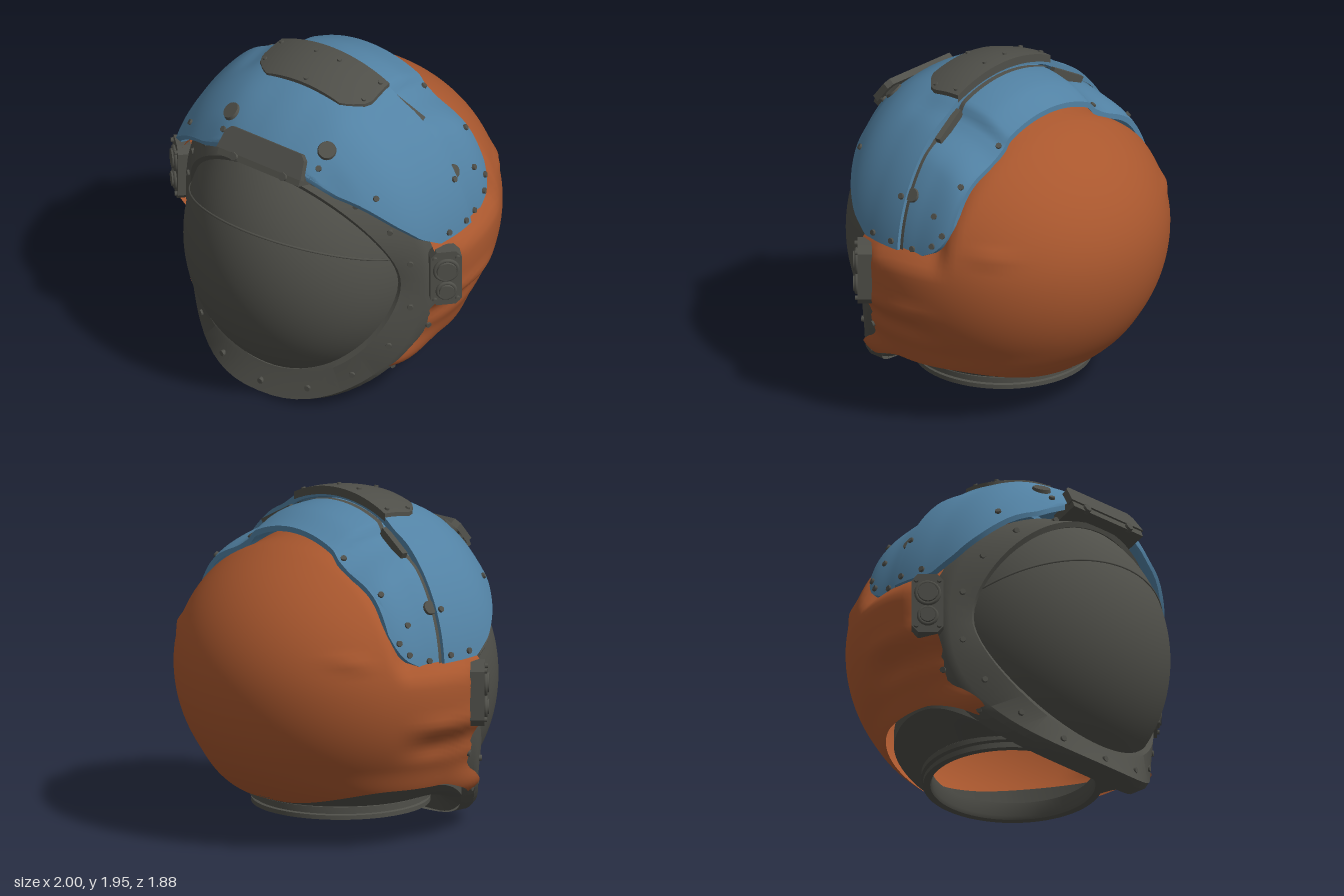
import * as THREE from 'three';
import { toCreasedNormals } from 'three/addons/utils/BufferGeometryUtils.js';

const mat = (name, color) => new THREE.MeshStandardMaterial({ name, color, side: THREE.DoubleSide });
const V = (x, y, z) => new THREE.Vector3(x, y, z);
const smooth = (a, b, x) => {
  const t = Math.min(1, Math.max(0, (x - a) / (b - a)));
  return t * t * (3 - 2 * t);
};
const bell = (x, c, w) => Math.exp(-(((x - c) / w) ** 2));

// Piecewise linear lookup in [[x, y], ...]
function table(pts, x) {
  for (let i = 1; i < pts.length; i++) {
    const [a, b] = [pts[i - 1], pts[i]];
    if (x <= b[0]) return a[1] + (b[1] - a[1]) * Math.max(0, (x - a[0]) / (b[0] - a[0]));
  }
  return pts[pts.length - 1][1];
}

// Grid surface from p(i, j)
function sheet(p, ni, nj, crease = 0.6) {
  const pos = [], idx = [];
  for (let i = 0; i <= ni; i++) for (let j = 0; j <= nj; j++) pos.push(...p(i, j).toArray());
  for (let i = 0; i < ni; i++) for (let j = 0; j < nj; j++) {
    const a = i * (nj + 1) + j, b = a + nj + 1;
    idx.push(a, b, a + 1, b, b + 1, a + 1);
  }
  const g = new THREE.BufferGeometry();
  g.setAttribute('position', new THREE.Float32BufferAttribute(pos, 3));
  g.setIndex(idx);
  return toCreasedNormals(g, crease);
}

// Closed plate with thickness: f(u, v, inner)
function shell(f, nu, nv) {
  return sheet((i, j) => {
    const end = i === 0 || i === nu + 2;
    const u = Math.min(1, Math.max(0, (i - 1) / nu));
    const outer = j <= nv || j === 2 * nv + 2;
    const v = j <= nv ? j / nv : j === 2 * nv + 2 ? 0 : (2 * nv + 1 - j) / nv;
    return f(u, v, end || !outer ? 1 : 0);
  }, nu + 2, 2 * nv + 2);
}

// Armour ellipsoid: a slice at z swept over the top from side to side
const RX = 0.92, RY = 0.98, CY = 0.95;
function armour(z, v, yb, scale) {
  const k = Math.sqrt(1 - (z / RX) ** 2);
  const t0 = Math.asin(Math.min(1, (yb - CY) / (RY * k)));
  const t = t0 + (Math.PI - 2 * t0) * v;
  const x = RX * k * Math.cos(t), s = scale(x, z);
  return V(x * s, CY + RY * k * s * Math.sin(t), z);
}
const seamZ = (v) => -0.02 - 0.05 * (2 * v - 1) ** 2;
const frontScale = (x, z) => 1
  + 0.025 * smooth(0.15, 0.45, z) * smooth(0.1, 0.35, Math.abs(x))
  - 0.015 * bell(Math.abs(x), 0.46, 0.07) * (1 - smooth(0.1, 0.3, z))
  - 0.03 * bell(Math.abs(x), 0.45, 0.12) * smooth(0.52, 0.64, z);
const bandScale = (x, z) => {
  const a = Math.abs(x), mid = 1 - smooth(0.34, 0.42, a);
  return 0.9 + (0.045 - 0.015 * smooth(-0.2, -0.38, z)) * mid
    + 0.07 * smooth(0.46, 0.7, a) + 0.03 * smooth(-0.15, -0.38, z) * smooth(0.5, 0.75, a);
};

// Visor dome and its saddle-shaped rim
const domeZ = (x, dy) => 0.24 + 0.7 * Math.sqrt(Math.max(0, 1 - (x / 0.705) ** 2 - (dy / 0.816) ** 2));
const rimIn = (t, s, dz) => {
  const x = 0.7 * Math.cos(t), y = 0.67 * Math.sin(t);
  return V(x * s, 0.84 + y * s, domeZ(x, y) + dz);
};
const pw = (a) => Math.sign(a) * Math.abs(a) ** 0.85;
const rimOut = (t, s, dz) => {
  const c = Math.cos(t), n = Math.sin(t);
  return V(0.84 * pw(c) * s, 0.84 + (n > 0 ? 0.72 : 0.835) * pw(n) * s,
    0.25 + (n > 0 ? 0.32 : 0.45) * Math.abs(n) ** 2.4 + dz);
};

export function createModel() {
  const model = new THREE.Group();
  const grey = mat('charcoal', 0x4f4f49), blue = mat('steelBlue', 0x5282a4), orange = mat('burntOrange', 0xa9572e);
  const add = (name, geo, m, parent = model) => {
    const mesh = new THREE.Mesh(geo, m);
    mesh.name = name;
    parent.add(mesh);
    return mesh;
  };
  const stud = (name, p, n, r = 0.02, h = 0.03, parent = model) => {
    const mesh = add(name, new THREE.CylinderGeometry(r * 0.85, r, h, r > 0.03 ? 24 : 8), grey, parent);
    mesh.position.copy(p);
    mesh.quaternion.setFromUnitVectors(V(0, 1, 0), n.clone().normalize());
    return mesh;
  };

  // Rear shell, open at the face and the neck, tucked in under the armour
  add('rearShell', sheet((i, j) => {
    const t = i / 56, w = (j / 96) * 2 - 1, aw = Math.abs(w);
    const yb = 0.25 + 0.11 * smooth(0.1, 0.6, aw) - 0.12 * smooth(0.8, 1, aw);
    const y = 1.75 - (1.75 - yb) * (1 - Math.cos(Math.PI * t)) / 2;
    const a = w * (1.84 + 0.28 * smooth(0.5, 0.26, y));
    const side = Math.sin(a) ** 2, d = (y - CY) / (y > CY ? 0.8 : 0.9);
    let r = 0.945 * Math.sqrt(Math.max(0, 1 - d * d)) * (1 + 0.015 * side);
    const z0 = -r * Math.cos(a), flank = smooth(-0.4, -0.1, z0);
    r += smooth(0.5, 0.27, y) * (0.07 * side + 0.09 * smooth(1.6, 2.1, Math.abs(a)));
    r += flank * (0.02 * bell(y, 0.75, 0.05) - 0.035 * bell(y, 0.62, 0.07));
    r -= 0.035 * smooth(0.06, 0.18, z0) * bell(y, 0.9, 0.2);
    r += 0.02 * bell(y, 1.15, 0.03) * bell(z0, -0.6, 0.09);
    r *= 1 - 0.1 * smooth(1.0, 1.18, y) * smooth(-0.42, -0.3, z0);
    return V(r * Math.sin(a), y, -r * Math.cos(a));
  }, 56, 96, 0.9), orange);

  // Inner chin lining joining the two front corners of the shell
  add('chinLining', new THREE.CylinderGeometry(0.58, 0.58, 0.18, 32, 1, true, -0.95, 1.9), orange).position.y = 0.32;

  // Front and rear armour, meeting at a slightly slanted seam
  const frontEdge = [[-0.07, 1.1], [0.2, 1.1], [0.33, 1.18], [0.45, 1.3], [0.55, 1.42], [0.62, 1.5], [0.66, 1.57]];
  add('frontArmour', shell((u, v, d) => {
    const z = seamZ(v) + (0.66 - seamZ(v)) * u;
    return armour(z, v, table(frontEdge, z), (x, zz) => frontScale(x, zz) - 0.04 * d);
  }, 30, 72), blue);
  const bandEdge = [[-0.38, 1.29], [-0.35, 1.2], [-0.3, 1.14], [-0.22, 1.1], [0, 1.1]];
  add('rearArmour', shell((u, v, d) => {
    const z = 0.03 - 0.41 * u;
    return armour(z, v, table(bandEdge, z), (x, zz) => bandScale(x, zz) - 0.035 * d);
  }, 18, 96), blue);
  add('seamStrip', sheet((i, j) => armour(seamZ(j / 96) + 0.01 - 0.03 * i, j / 96, 1.1, (x, z) => bandScale(x, z) + 0.006),
    1, 96), grey);

  // Crown plate
  const onTop = (x, z, s) => V(x, CY + RY * s * Math.sqrt(1 - (x / RX) ** 2 - (z / RX) ** 2), z);
  add('crownPlate', shell((u, v, d) => {
    const z = -0.025 + 0.315 * u;
    const half = table([[-0.04, 0.37], [0.15, 0.38], [0.2, 0.36], [0.26, 0.3], [0.29, 0.25]], z);
    return onTop(half * (2 * v - 1), z, 1.022 - 0.05 * d);
  }, 14, 24), grey);
  for (const [x, z] of [[-0.34, 0.02], [0.34, 0.02], [-0.34, 0.18], [0.34, 0.18], [0, 0.26], [-0.08, 0.05], [0.08, 0.05]])
    stud('crownBolt', onTop(x, z, 1.022), V(x, 0.9, z), 0.015, 0.02);

  // Visor with its brow line
  add('visor', sheet((i, j) => {
    const s = Math.sin((i / 28) * Math.PI / 2), t = (j / 72) * Math.PI * 2;
    const x = 0.7 * s * Math.cos(t), y = 0.67 * s * Math.sin(t);
    return V(x, 0.84 + y, domeZ(x, y));
  }, 28, 72, 1.2), grey);
  const line = [];
  for (let i = 0; i <= 28; i++) {
    const x = 0.695 * Math.sin((i / 28 - 0.5) * Math.PI);
    const y = 0.92 + 0.29 * Math.sqrt(1 - (x / 0.71) ** 2);
    line.push(V(x, y, domeZ(x, y - 0.84)));
  }
  add('visorSeam', new THREE.TubeGeometry(new THREE.CatmullRomCurve3(line), 60, 0.007, 6), grey);

  // Visor frame, flaring back under the armour, and its bolts
  const rows = [
    (t) => rimIn(t, 0.965, -0.05), (t) => rimIn(t, 0.985, 0.02), (t) => rimIn(t, 1.03, 0.03),
    (t) => rimOut(t, 0.975, 0.025), (t) => rimOut(t, 1, -0.02), (t) => rimOut(t, 1, -0.12),
    (t) => rimOut(t, 1 + 0.045 * smooth(0.1, 0.35, Math.sin(t)), -0.12 - 0.15 * Math.max(0, Math.sin(t)))];
  add('visorFrame', sheet((i, j) => rows[i]((j / 80) * Math.PI * 2), 6, 80, 0.5), grey);
  for (let i = 0; i < 18; i++) {
    const t = ((i + 0.5) / 18) * Math.PI * 2;
    const p = rimIn(t, 1.03, 0.03).lerp(rimOut(t, 0.975, 0.025), 0.55);
    stud('frameBolt', p, V(Math.cos(t) * 0.6, 0, 0.8), 0.02, 0.025);
  }

  // Brow plate and the clip bar below it
  const trap = new THREE.Shape([[-0.29, -0.07], [0.29, -0.07], [0.27, 0.04], [0.24, 0.07], [-0.24, 0.07], [-0.27, 0.04]]
    .map(([x, y]) => new THREE.Vector2(x, y)));
  const brow = add('browPlate', new THREE.ExtrudeGeometry(trap, { depth: 0.04, bevelEnabled: false }), grey);
  brow.position.set(0, 1.625, 0.65);
  brow.rotation.x = -0.6;
  const bar = add('browBar', new THREE.BoxGeometry(0.56, 0.055, 0.15), grey);
  bar.position.set(0, 1.545, 0.65);
  bar.rotation.x = -0.4;
  for (const x of [-0.17, 0.17]) stud('browBolt', V(x, 1.57, 0.72), V(0, 0.4, 1), 0.03, 0.03);

  // Chin skirt running from under the shell and the frame to the neck ring
  const half = [[0, 0.012, 0.6], [0.3, 0.045, 0.53], [0.6, 0.2, 0.36], [0.74, 0.34, 0.1],
    [0.72, 0.36, -0.15], [0.5, 0.34, -0.46], [0.25, 0.29, -0.58], [0, 0.26, -0.61]].map((p) => V(...p));
  const loop = [...half, ...half.slice(1, -1).reverse().map((p) => V(-p.x, p.y, p.z))];
  const edge = new THREE.CatmullRomCurve3(loop, true);
  const NECK_Z = -0.015;
  add('chinSkirt', sheet((i, j) => {
    const p = edge.getPoint((j % 84) / 84);
    if (i === 0) return V(p.x, p.y + 0.09 * smooth(0.45, 0.3, p.z), p.z);
    const a = Math.atan2(p.x, p.z - NECK_Z);
    return p.lerp(V(0.5 * Math.sin(a), 0.22, NECK_Z + 0.5 * Math.cos(a)), (i - 1) / 4);
  }, 5, 84), grey);
  const neck = [[0.455, 0.25], [0.455, 0.17], [0.465, 0.15], [0.505, 0.15], [0.505, 0.175], [0.49, 0.18],
    [0.49, 0.19], [0.515, 0.195], [0.515, 0.225], [0.49, 0.25], [0.455, 0.25]].map((p) => new THREE.Vector2(...p));
  add('neckRing', toCreasedNormals(new THREE.LatheGeometry(neck, 64), 0.5), grey).position.z = NECK_Z;

  for (const s of [-1, 1]) {
    // Armour bolts and round caps, given as z, y, radius
    const studs = [[0.48, 1.47, 0.02], [0.13, 1.14, 0.02], [-0.02, 1.14, 0.02], [-0.02, 1.39, 0.02], [0.04, 1.86, 0.02],
      [0.6, 1.62, 0.02], [0.52, 1.7, 0.058], [-0.07, 1.4, 0.045], [-0.15, 1.12, 0.02], [-0.28, 1.17, 0.02],
      [-0.33, 1.24, 0.02], [-0.34, 1.5, 0.02], [-0.25, 1.33, 0.02], [-0.35, 1.66, 0.02]];
    for (const [z, y, r] of studs) {
      const k = Math.sqrt(1 - (z / RX) ** 2);
      let x = 0, f = 1;
      for (let i = 0; i < 12; i++) {
        x = RX * Math.sqrt(Math.max(0, k * k - ((y - CY) / (RY * f)) ** 2));
        f = (f + (z < -0.05 ? bandScale(x, z) : frontScale(x, z))) / 2;
      }
      stud(r > 0.03 ? 'roundCap' : 'armourBolt', V(s * x * f, y, z), V(s * x, y - CY, z), r, 0.025);
    }

    // Seam clip between the two armour pieces
    const clip = add('seamClip', new THREE.BoxGeometry(0.23, 0.05, 0.035), grey);
    clip.position.set(s * 0.47, 1.715, -0.05);
    clip.rotation.set(0, s * 0.15, -s * 0.5);

    // Ear pod with two lamps
    const pod = new THREE.Group();
    pod.name = s > 0 ? 'leftEarPod' : 'rightEarPod';
    pod.position.set(s * 0.9, 0.89, 0.18);
    pod.rotation.y = s * Math.PI / 4;
    model.add(pod);
    const plate = new THREE.Shape([[-0.055, -0.18], [0.055, -0.18], [0.09, -0.14], [0.09, 0.14], [0.055, 0.18],
      [-0.055, 0.18], [-0.09, 0.14], [-0.09, -0.14]].map((p) => new THREE.Vector2(...p)));
    add('podPlate', new THREE.ExtrudeGeometry(plate, { depth: 0.08, bevelEnabled: false }), grey, pod).position.z = -0.03;
    for (const [y, r] of [[0.06, 0.065], [-0.08, 0.05]]) {
      stud('podLamp', V(0, y, 0.055), V(0, 0, 1), r, 0.04, pod);
      add('podLampRim', new THREE.TorusGeometry(r, 0.012, 8, 24), grey, pod).position.set(0, y, 0.055);
    }
    for (const x of [-0.065, 0.065]) for (const y of [-0.14, 0.14])
      stud('podBolt', V(x, y, 0.055), V(0, 0, 1), 0.015, 0.02, pod);

    // Bolts on the lower front edge of the shell
    for (const [x, y, z] of [[0.8, 0.52, 0.21], [0.66, 0.27, 0.36]])
      stud('shellBolt', V(s * x, y, z), V(s, -0.2, 0.4), 0.02, 0.04);
  }
  return model;
}
